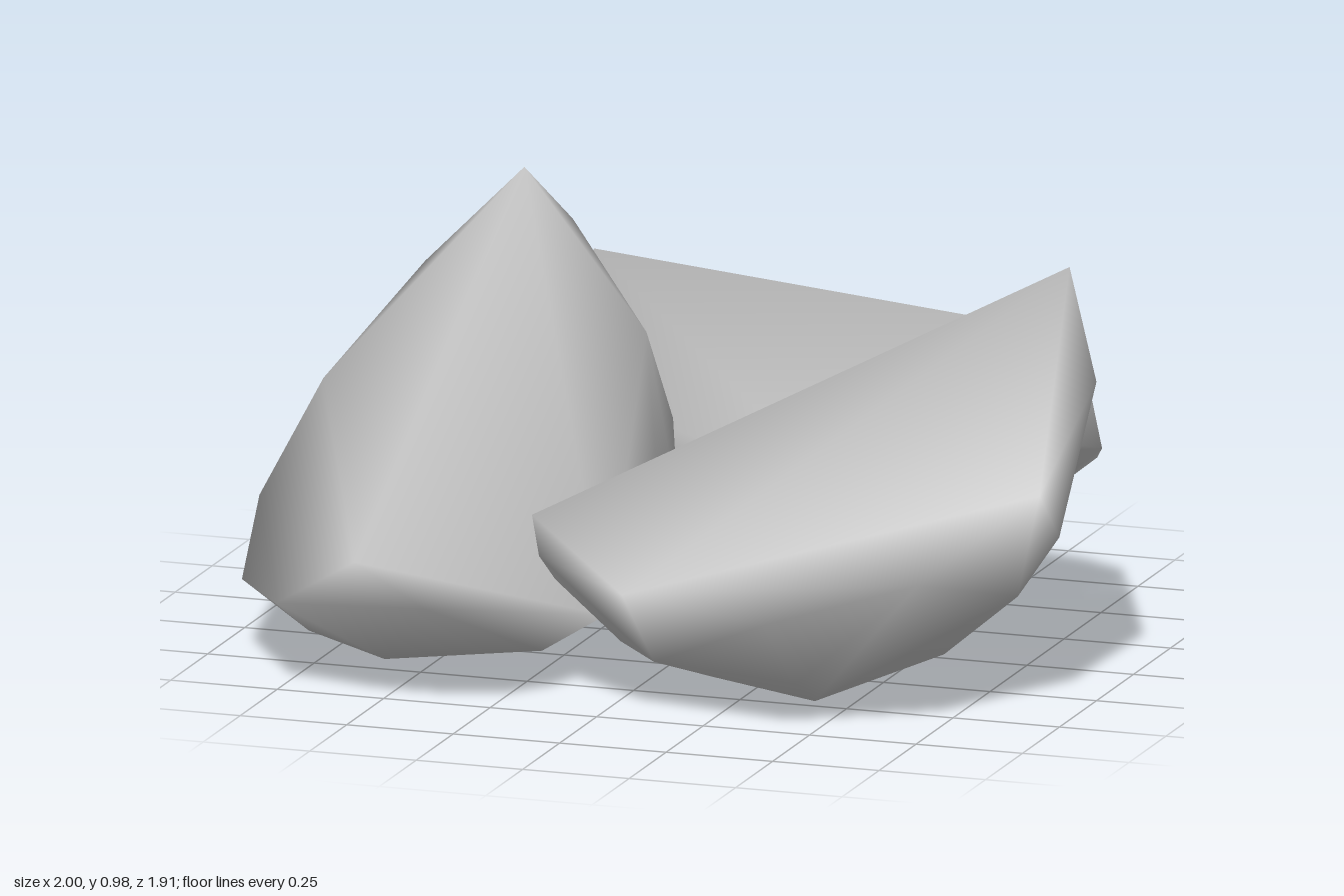
import * as THREE from 'three';
import { ConvexGeometry } from 'three/addons/geometries/ConvexGeometry.js';
import { mergeVertices } from 'three/addons/utils/BufferGeometryUtils.js';

// Each boulder: a sharp ridge, a bulging rim and a rounded underside.
const boulders = {
  leftBoulder: {
    ridge: [[-0.5, 0.36, 0.95], [-0.51, 0.98, -0.23]],
    rim: [
      [-0.75, 0.2, 0.76], [-0.93, 0.17, 0.47], [-1, 0.28, 0.15], [-0.94, 0.49, -0.11],
      [-0.75, 0.74, -0.25], [-0.61, 0.88, -0.28], [-0.57, 0.68, -0.3], [-0.41, 0.86, -0.27],
      [-0.23, 0.62, -0.25], [-0.14, 0.45, -0.17], [-0.08, 0.3, -0.03], [-0.06, 0.2, 0.13],
      [-0.1, 0.14, 0.4], [-0.18, 0.1, 0.6], [-0.24, 0.12, 0.7], [-0.37, 0.24, 0.85],
    ],
    base: [
      [-0.6, 0.01, 0.25], [-0.3, 0.04, 0.3], [-0.78, 0.06, 0.45], [-0.58, 0.1, 0.06],
      [-0.55, 0.05, 0.6], [-0.6, 0.35, -0.22], [-0.35, 0.29, -0.18],
    ],
  },
  rightBoulder: {
    ridge: [[-0.19, 0.42, 0.64], [0.85, 0.92, 0]],
    rim: [
      [0.08, 0.3, 0.81], [0.43, 0.27, 0.85], [0.75, 0.36, 0.74], [0.96, 0.53, 0.52],
      [1, 0.73, 0.25], [0.84, 0.74, -0.11], [0.77, 0.56, -0.18], [0.67, 0.38, -0.19],
      [0.51, 0.22, -0.13], [0.21, 0.15, 0.02], [0.02, 0.2, 0.21], [-0.17, 0.25, 0.54],
    ],
    base: [
      [0.4, 0, 0.32], [0.15, 0.02, 0.4], [0.66, 0.09, 0.3], [0.85, 0.25, 0.35],
      [0.93, 0.38, 0.3], [0.45, 0.1, 0.69], [0.45, 0.03, 0.57], [0.1, 0.11, 0.65],
      [0.42, 0.04, 0.11], [-0.03, 0.11, 0.5], [-0.17, 0.33, 0.65],
    ],
  },
  backBoulder: {
    ridge: [[0.76, 0.68, -0.32], [-0.51, 0.68, -0.7]],
    rim: [
      [-0.46, 0.43, -0.82], [-0.33, 0.32, -0.91], [-0.16, 0.23, -0.95], [0.03, 0.18, -0.96],
      [0.23, 0.16, -0.91], [0.43, 0.17, -0.84], [0.6, 0.27, -0.72], [0.71, 0.33, -0.59],
      [0.77, 0.39, -0.45], [0.6, 0.5, -0.1], [0.5, 0.44, -0.05], [0.31, 0.37, 0.01],
      [-0.03, 0.2, -0.02], [-0.1, 0.21, -0.06], [-0.4, 0.31, -0.28], [-0.51, 0.43, -0.43],
    ],
    base: [
      [0, 0.06, -0.75], [0.13, 0.01, -0.54], [0.1, 0.03, -0.38], [0.2, 0.08, -0.21],
      [-0.19, 0.08, -0.5], [-0.35, 0.2, -0.6], [0.45, 0.12, -0.5], [0.6, 0.26, -0.5],
    ],
  },
};

// Convex stone with shared vertices, so the shading flows over its facets
function stoneGeometry(points) {
  const hull = new ConvexGeometry(points.map((p) => new THREE.Vector3(...p)));
  hull.deleteAttribute('normal');
  const smooth = mergeVertices(hull);
  smooth.computeVertexNormals();
  return smooth;
}

export function createModel() {
  const group = new THREE.Group();
  group.name = 'boulders';
  const stone = new THREE.MeshStandardMaterial({ color: 0xbcbcbc });
  stone.name = 'light grey stone';

  for (const [name, { ridge, rim, base }] of Object.entries(boulders)) {
    const mesh = new THREE.Mesh(stoneGeometry([...ridge, ...rim, ...base]), stone);
    mesh.name = name;
    group.add(mesh);
  }
  return group;
}
